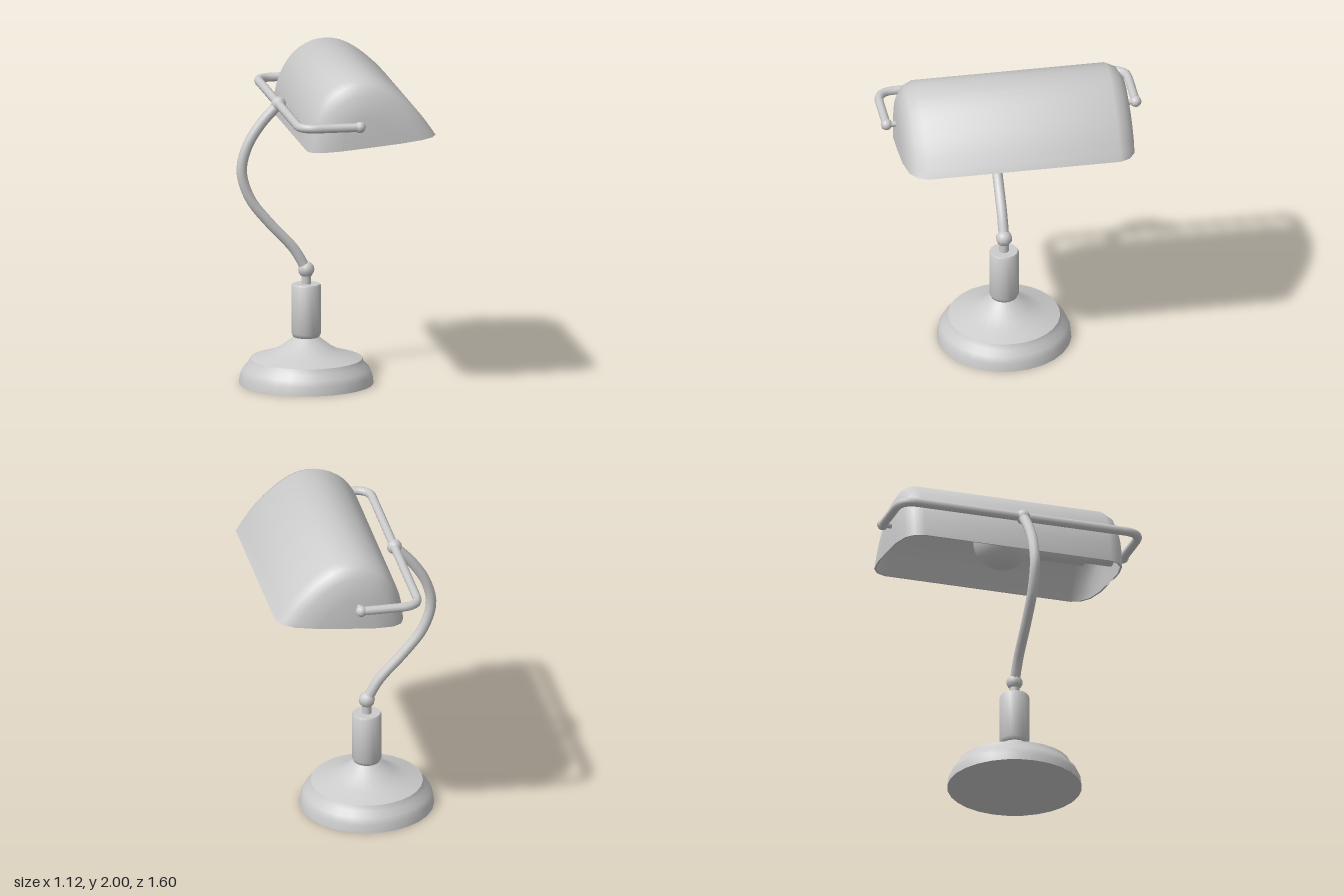
import * as THREE from 'three';
import { toCreasedNormals, mergeVertices } from 'three/addons/utils/BufferGeometryUtils.js';

const material = new THREE.MeshStandardMaterial({ color: 0xcccccc });
const v2 = (pts) => pts.map(([x, y]) => new THREE.Vector2(x, y));
const v3 = (pts) => pts.map((p) => new THREE.Vector3(...p));

const STEM_X = -0.13, STEM_Z = 0.01; // axis of the foot
const YOKE_X = -0.3, YOKE_Y = 1.73, YOKE_Z = 0.765, PIVOT_X = 0.065;

function add(parent, name, geometry, x = 0, y = 0, z = 0) {
  const mesh = new THREE.Mesh(geometry, material);
  mesh.name = name;
  mesh.position.set(x, y, z);
  parent.add(mesh);
  return mesh;
}

function lathe(pts, sides) {
  return toCreasedNormals(new THREE.LatheGeometry(v2(pts), sides), 0.7);
}

// Thin closed shell: arched section lofted along z, shrinking at the rounded ends
function shadeGeometry() {
  const arch = new THREE.SplineCurve(v2([
    [-0.23, 1.555], [-0.212, 1.7], [-0.17, 1.82], [-0.1, 1.92], [0, 1.983], [0.1, 2],
    [0.2, 1.98], [0.3, 1.922], [0.4, 1.835], [0.48, 1.745], [0.56, 1.63],
  ])).getPoints(24);
  const cx = 0.13, cy = 1.589, inner = 0.975;
  const ends = [[0.712, 0], [0.71, 0.45], [0.69, 0.77], [0.65, 0.93], [0.59, 1]];
  const stations = [
    ...ends.map(([z, s]) => [-z, s]),
    ...ends.slice().reverse(),
  ];
  const ring = [
    ...arch.map((p) => [p, 1]),
    ...arch.slice().reverse().map((p) => [p, inner]),
  ];
  const positions = [], index = [], n = ring.length;
  for (const [z, s] of stations) {
    for (const [p, k] of ring) {
      positions.push(cx + (p.x - cx) * s * k, cy + (p.y - cy) * s * k, z * (k < 1 ? 0.985 : 1));
    }
  }
  for (let i = 0; i < stations.length - 1; i++) {
    for (let j = 0; j < n; j++) {
      const a = i * n + j, b = i * n + (j + 1) % n, c = b + n, d = a + n;
      if (stations[i + 1][1] > 0) index.push(a, d, c);
      if (stations[i][1] > 0) index.push(a, c, b);
      if (stations[i + 1][1] === 0) index.push(a, d, b);
    }
  }
  const geometry = new THREE.BufferGeometry();
  geometry.setAttribute('position', new THREE.Float32BufferAttribute(positions, 3));
  geometry.setIndex(index);
  return toCreasedNormals(mergeVertices(geometry), 0.75);
}

export function createModel() {
  const lamp = new THREE.Group();
  lamp.name = 'deskLamp';

  // Foot and upright sleeve
  add(lamp, 'base', lathe([
    [0, 0], [0.408, 0], [0.402, 0.05], [0.385, 0.09], [0.355, 0.12], [0.34, 0.153],
    [0.335, 0.155], [0.235, 0.182], [0.16, 0.22], [0.105, 0.262], [0.075, 0.285],
  ], 28), STEM_X, 0, STEM_Z);
  add(lamp, 'sleeve', lathe([
    [0.07, 0.28], [0.08, 0.288], [0.09, 0.31], [0.09, 0.6], [0.083, 0.612], [0, 0.612],
  ], 20), STEM_X, 0, STEM_Z);
  add(lamp, 'neck', new THREE.CylinderGeometry(0.03, 0.03, 0.1, 12), STEM_X, 0.65, STEM_Z);
  add(lamp, 'lowerJoint', new THREE.SphereGeometry(0.05, 10, 8), STEM_X, 0.7, STEM_Z);

  // Curved arm
  const armCurve = new THREE.CatmullRomCurve3(v3([
    [STEM_X, 0.7, STEM_Z], [-0.205, 0.83, STEM_Z], [-0.36, 1.0, STEM_Z], [-0.475, 1.15, STEM_Z],
    [-0.527, 1.32, STEM_Z], [-0.495, 1.47, STEM_Z], [-0.41, 1.61, STEM_Z], [YOKE_X, YOKE_Y, STEM_Z],
  ]));
  add(lamp, 'arm', new THREE.TubeGeometry(armCurve, 32, 0.032, 10));
  add(lamp, 'upperJoint', new THREE.SphereGeometry(0.046, 10, 8), YOKE_X, YOKE_Y, STEM_Z);

  // Yoke with rounded corners
  const yoke = new THREE.CurvePath();
  const r = 0.11;
  const corner = (s) => v3([
    [YOKE_X, YOKE_Y, s * (YOKE_Z - r)], [YOKE_X, YOKE_Y, s * YOKE_Z], [YOKE_X + r, YOKE_Y, s * YOKE_Z],
  ]);
  const [b0, b1, b2] = corner(-1), [f0, f1, f2] = corner(1);
  yoke.add(new THREE.LineCurve3(new THREE.Vector3(PIVOT_X, YOKE_Y, -YOKE_Z), b2));
  yoke.add(new THREE.QuadraticBezierCurve3(b2, b1, b0));
  yoke.add(new THREE.LineCurve3(b0, f0));
  yoke.add(new THREE.QuadraticBezierCurve3(f0, f1, f2));
  yoke.add(new THREE.LineCurve3(f2, new THREE.Vector3(PIVOT_X, YOKE_Y, YOKE_Z)));
  add(lamp, 'yoke', new THREE.TubeGeometry(yoke, 90, 0.027, 10));

  // Pivots at both ends of the shade
  for (const s of [-1, 1]) {
    add(lamp, 'pivotBall', new THREE.SphereGeometry(0.035, 10, 8), PIVOT_X, YOKE_Y, s * YOKE_Z);
    const pin = add(lamp, 'pivotPin', new THREE.CylinderGeometry(0.018, 0.018, 0.07, 10),
      PIVOT_X, YOKE_Y, s * 0.735);
    pin.rotation.x = Math.PI / 2;
  }

  add(lamp, 'shade', shadeGeometry());

  // Bulb and socket lying along +z inside the shade
  const light = new THREE.Group();
  light.name = 'bulbAssembly';
  light.position.set(0.08, YOKE_Y, 0);
  light.rotation.x = Math.PI / 2;
  lamp.add(light);
  const bulb = [];
  for (let i = 0; i <= 12; i++) {
    const a = (i / 12) * 2.65;
    bulb.push([0.175 * Math.sin(a), -0.175 * Math.cos(a)]);
  }
  bulb.push([0.07, 0.19], [0.065, 0.24]);
  add(light, 'bulb', lathe(bulb, 20));
  add(light, 'socket', lathe([
    [0, 0.22], [0.078, 0.22], [0.078, 0.52], [0.058, 0.53], [0.058, 0.7], [0, 0.7],
  ], 16));

  return lamp;
}
